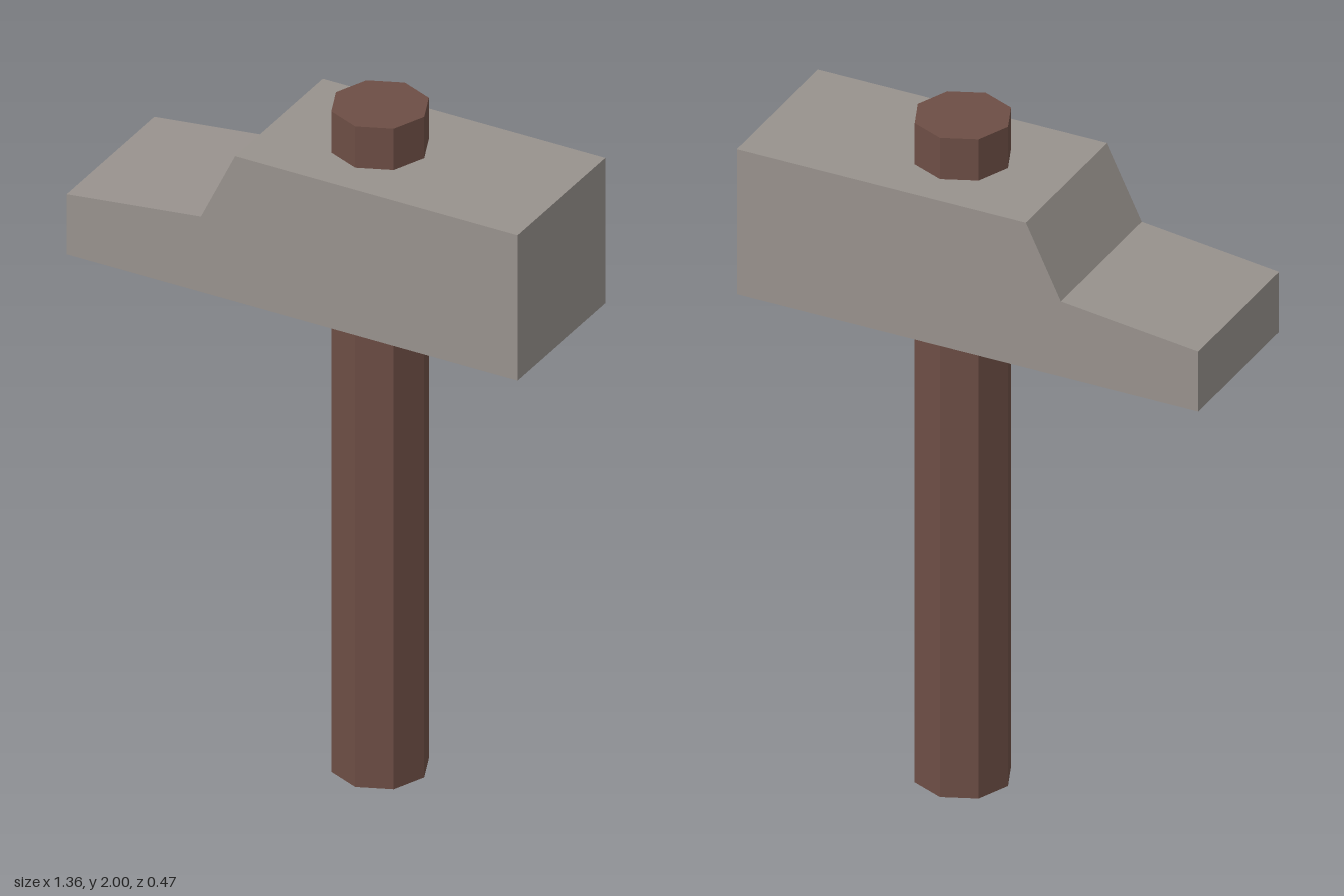
import * as THREE from 'three';

export function createModel() {
  const model = new THREE.Group();
  model.name = 'hammer';

  const wood = new THREE.MeshStandardMaterial({ color: 0x6d4e45, flatShading: true });
  wood.name = 'brown wood';
  const metal = new THREE.MeshStandardMaterial({ color: 0x98928d, flatShading: true });
  metal.name = 'grey metal';

  // Octagonal handle running right through the head
  const radius = 0.133;
  const handle = new THREE.Mesh(new THREE.CylinderGeometry(radius, radius, 2, 8), wood);
  handle.name = 'handle';
  handle.position.set(radius, 1, 0);
  model.add(handle);

  // Head: side outline with a block face and a thin tapered peen
  const outline = new THREE.Shape([
    [-0.68, 1.435], [0.68, 1.435], [0.68, 1.875],
    [-0.172, 1.875], [-0.275, 1.663], [-0.68, 1.617],
  ].map(([x, y]) => new THREE.Vector2(x, y)));
  const depth = 0.47;
  const headGeometry = new THREE.ExtrudeGeometry(outline, { depth, bevelEnabled: false });
  headGeometry.translate(0, 0, -depth / 2);
  const head = new THREE.Mesh(headGeometry, metal);
  head.name = 'head';
  model.add(head);

  return model;
}
